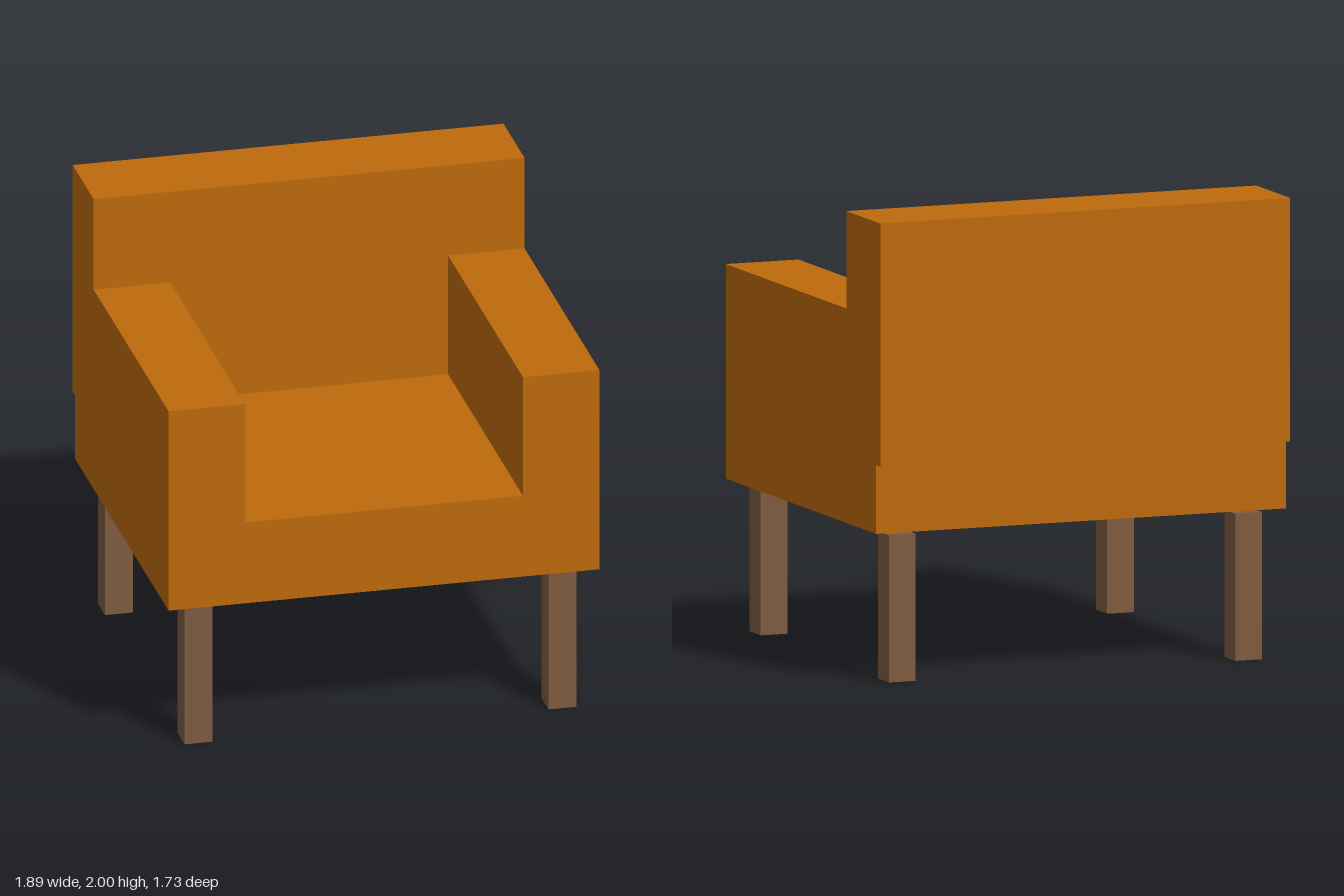
import * as THREE from 'three';

export function createModel() {
  const group = new THREE.Group();
  group.name = 'armchair';

  const upholstery = new THREE.MeshStandardMaterial({ color: 0xbe6a0c });
  upholstery.name = 'orange upholstery';
  const wood = new THREE.MeshStandardMaterial({ color: 0x7f5c40 });
  wood.name = 'brown wood';

  const add = (name, geometry, material) => {
    const mesh = new THREE.Mesh(geometry, material);
    mesh.name = name;
    group.add(mesh);
    return mesh;
  };

  // Box given by its limits on each axis
  const box = (name, material, [x0, x1], [y0, y1], [z0, z1]) =>
    add(name, new THREE.BoxGeometry(x1 - x0, y1 - y0, z1 - z0), material)
      .position.set((x0 + x1) / 2, (y0 + y1) / 2, (z0 + z1) / 2);

  const W = 0.945, inner = 0.61;
  const bottom = 0.655, seatTop = 1.03, armTop = 1.58;
  const front = 0.865, backFront = -0.485;

  // Seat and both arms share one U-shaped section
  const profile = new THREE.Shape([
    [-W, bottom], [W, bottom], [W, armTop], [inner, armTop],
    [inner, seatTop], [-inner, seatTop], [-inner, armTop], [-W, armTop],
  ].map(([x, y]) => new THREE.Vector2(x, y)));
  add('seatAndArms',
    new THREE.ExtrudeGeometry(profile, { depth: front - backFront, bevelEnabled: false }),
    upholstery).position.z = backFront;

  // Backrest overhangs the rear of the base slightly
  box('backrest', upholstery, [-W, W], [0.95, 2], [-0.865, backFront]);
  box('rearBase', upholstery, [-W, W], [bottom, 0.95], [-0.82, backFront]);

  // Four square legs, ending just below the base
  for (const [side, x0, x1] of [['Right', -0.86, -0.737], ['Left', 0.737, 0.86]]) {
    box('front' + side + 'Leg', wood, [x0, x1], [0, 0.635], [0.68, 0.803]);
    box('back' + side + 'Leg', wood, [x0, x1], [0, 0.635], [-0.755, -0.632]);
  }

  return group;
}
